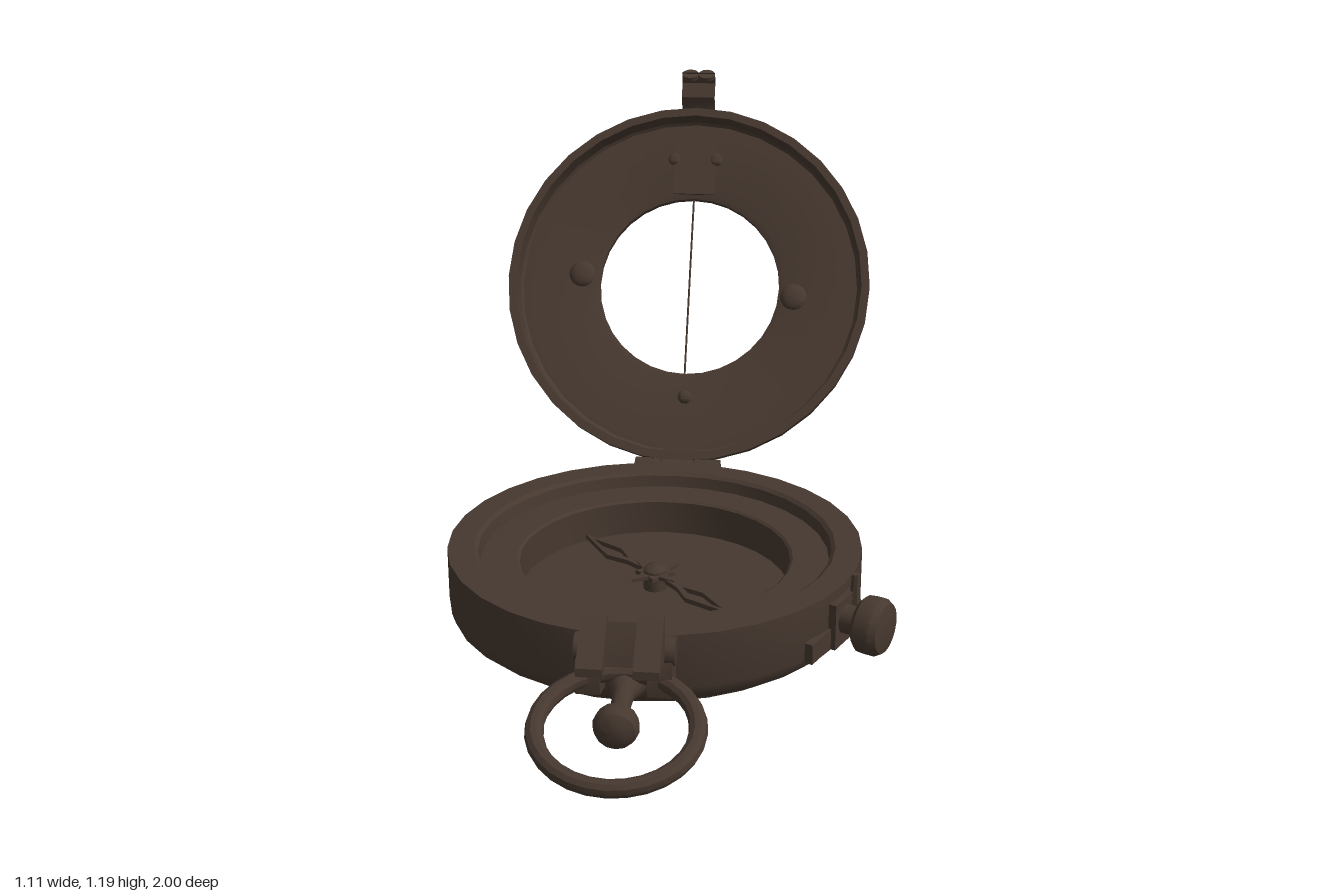
import * as THREE from 'three';
import { toCreasedNormals } from 'three/addons/utils/BufferGeometryUtils.js';

const CX = -0.045; // symmetry plane of the case
const CZ = 0.12;   // case axis

export function createModel() {
  const model = new THREE.Group();
  model.name = 'pocketCompass';
  const bronze = new THREE.MeshStandardMaterial({ color: 0x46382f });
  bronze.name = 'darkBronze';

  const add = (parent, name, geo, x = 0, y = 0, z = 0) => {
    const mesh = new THREE.Mesh(toCreasedNormals(geo, 0.6), bronze);
    mesh.name = name;
    mesh.position.set(x, y, z);
    parent.add(mesh);
    return mesh;
  };
  const group = (name, x, y, z) => {
    const g = new THREE.Group();
    g.name = name;
    g.position.set(x, y, z);
    model.add(g);
    return g;
  };
  const lathe = (pts, seg) => new THREE.LatheGeometry(pts.map(p => new THREE.Vector2(...p)), seg);
  const shapeOf = pts => new THREE.Shape(pts.map(p => new THREE.Vector2(...p)));
  // Side profile of [z, y] points, extruded to a width along x
  const sideExtrude = (pts, width) => new THREE.ExtrudeGeometry(shapeOf(pts), { depth: width, bevelEnabled: false })
    .translate(0, 0, -width / 2).rotateY(-Math.PI / 2);
  const barX = (r, len, seg = 12) => new THREE.CylinderGeometry(r, r, len, seg).rotateZ(Math.PI / 2);
  const dome = (r, depth, seg = 12) => new THREE.SphereGeometry(r, seg, 8).scale(1, 1, depth / r);

  // Case: foot, rounded wall, stepped rim and dial floor
  add(model, 'caseBody', lathe([
    [0, 0.006], [0.11, 0.006], [0.115, 0.014], [0.33, 0.014], [0.34, 0.002], [0.45, 0.002],
    [0.458, 0.022], [0.485, 0.026], [0.507, 0.045], [0.515, 0.07], [0.515, 0.203], [0.45, 0.203],
    [0.44, 0.195], [0.435, 0.165], [0.345, 0.165], [0.338, 0.16], [0.338, 0.072], [0, 0.072],
  ], 32), CX, 0, CZ);

  // Needle: two open diamonds on slim arms, with a star and hub
  const needle = group('needle', CX, 0.108, CZ);
  needle.rotation.y = -Math.PI / 4;
  const flat = (shape, t) => new THREE.ExtrudeGeometry(shape, { depth: t, bevelEnabled: false })
    .translate(0, 0, -t / 2).rotateX(-Math.PI / 2);
  for (const s of [1, -1]) {
    const diamond = shapeOf([[0.05, -0.008], [0.1, -0.012], [0.16, -0.033], [0.295, 0], [0.16, 0.033], [0.1, 0.012], [0.05, 0.008]]);
    diamond.holes.push(new THREE.Path([[0.11, 0], [0.165, 0.018], [0.26, 0], [0.165, -0.018]].map(p => new THREE.Vector2(...p))));
    const arm = add(needle, 'needleArm', flat(diamond, 0.012));
    arm.rotation.y = s > 0 ? 0 : Math.PI;
  }
  const star = [];
  for (let i = 0; i < 16; i++) {
    const r = i % 2 ? 0.035 : i % 4 ? 0.05 : 0.075, a = i * Math.PI / 8;
    star.push([r * Math.cos(a), r * Math.sin(a)]);
  }
  add(needle, 'needleStar', flat(shapeOf(star), 0.01), 0, 0.004, 0);
  add(needle, 'needleHub', lathe([[0, -0.036], [0.03, -0.036], [0.03, 0.015], [0.02, 0.025], [0, 0.03]], 14));

  // Lid: dished ring leaning back; local z is its inner face direction
  const lid = group('lid', CX, 0.65, -0.668);
  lid.rotation.x = -0.52;
  add(lid, 'lidRing', lathe([
    [0.258, -0.058], [0.258, -0.078], [0.275, -0.082], [0.45, -0.082], [0.485, -0.072], [0.508, -0.052],
    [0.515, -0.03], [0.515, 0], [0.492, 0], [0.487, -0.045], [0.48, -0.052], [0.275, -0.052], [0.258, -0.058],
  ], 32).rotateX(Math.PI / 2));
  add(lid, 'sightWire', new THREE.CylinderGeometry(0.003, 0.003, 0.53, 6), 0, 0, -0.066);
  for (const [x, y, r] of [[-0.31, 0.025, 0.038], [0.3, -0.025, 0.038], [0.005, -0.325, 0.02]]) {
    add(lid, 'lidScrew', dome(r, 0.015), x, y, -0.052);
    add(lid, 'lidScrewBack', dome(r, 0.022), x, y, -0.082);
  }
  add(lid, 'innerPlate', new THREE.BoxGeometry(0.12, 0.2, 0.008), 0, 0.37, -0.05);
  for (const s of [1, -1]) add(lid, 'innerPlateRivet', dome(0.018, 0.01), s * 0.061, 0.375, -0.05);

  // Springy latch strap on the lid's back, with a two-lobed tip
  const path = [[-0.086, 0.265], [-0.088, 0.45], [-0.08, 0.495], [-0.062, 0.531], [-0.026, 0.556], [-0.026, 0.6], [0, 0.622]];
  const strap = path.concat(path.map(([z, y]) => [z - 0.012, y + 0.004]).reverse());
  add(lid, 'latchStrap', sideExtrude(strap, 0.095));
  for (const s of [1, -1]) {
    add(lid, 'latchLobe', new THREE.CylinderGeometry(0.024, 0.024, 0.012, 12).rotateX(0.9), s * 0.0235, 0.616, -0.008);
  }
  for (const y of [0.3, 0.39]) add(lid, 'strapRivet', dome(0.024, 0.018), 0, y, -0.096);

  // Rear hinge: barrel, outer knuckles and leaves
  const hinge = group('hinge', CX, 0.18, -0.41);
  add(hinge, 'hingePin', barX(0.018, 0.24));
  for (const s of [1, -1]) {
    add(hinge, 'hingeKnuckle', barX(0.029, 0.07), s * 0.083, 0, 0);
    add(hinge, 'hingeLug', new THREE.BoxGeometry(0.07, 0.05, 0.05), s * 0.083, -0.01, 0.025);
  }
  add(hinge, 'hingeCentre', barX(0.027, 0.09));
  add(hinge, 'lidLeaf', sideExtrude([[0.01, -0.025], [-0.03, -0.055], [-0.055, -0.04], [-0.125, 0.09], [-0.1, 0.1], [-0.045, 0.012], [0, 0.025]], 0.095));

  // Front sight: hinge bar, lugs and a notched wedge
  const sight = group('frontSight', CX, 0.19, 0.67);
  add(sight, 'sightHinge', barX(0.027, 0.22));
  for (const s of [1, -1]) {
    add(sight, 'sightLug', sideExtrude([[-0.04, 0.01], [0.015, 0.01], [0.04, -0.04], [0.035, -0.1], [-0.04, -0.12]], 0.055), s * 0.08, 0, 0);
    add(sight, 'sightWedge', sideExtrude([[0.02, -0.005], [0.13, -0.005], [0.13, 0.015], [0.04, 0.098], [0.026, 0.098]], 0.058), s * 0.062, 0, 0);
    add(sight, 'sightEnd', barX(0.032, 0.025), s * 0.1, 0, 0);
  }
  add(sight, 'sightBackPlate', sideExtrude([[0, -0.01], [0.07, -0.01], [0.06, 0.03], [0.036, 0.083], [0.026, 0.083]], 0.075));
  add(sight, 'sightBase', new THREE.BoxGeometry(0.2, 0.05, 0.06), 0, -0.06, -0.025);

  // Hanging ring on its ball-ended stem
  add(model, 'hangingRing', new THREE.TorusGeometry(0.177, 0.021, 10, 28)
    .scale(1, 0.91, 1).rotateX(Math.PI / 2 + 0.33), CX, 0.079, 0.824);
  add(model, 'ringStem', lathe([
    [0, 0], [0.05, 0], [0.045, 0.04], [0.025, 0.08], [0.02, 0.15], [0.03, 0.165], [0.047, 0.175],
    [0.052, 0.195], [0.045, 0.215], [0.025, 0.228], [0, 0.23],
  ], 14).rotateX(Math.PI / 2 + 0.1), CX, 0.104, 0.63);

  // Side brake: curved-wall bracket, pin and thumb knob (local z points outward)
  const brake = group('sideBrake', CX, 0.125, CZ);
  brake.rotation.y = Math.atan2(0.905, 0.425);
  add(brake, 'brakePlate', new THREE.BoxGeometry(0.13, 0.115, 0.035), 0.015, -0.005, 0.512);
  add(brake, 'brakeTongue', new THREE.BoxGeometry(0.11, 0.05, 0.02), -0.09, -0.035, 0.508);
  add(brake, 'brakePin', new THREE.CylinderGeometry(0.01, 0.018, 0.12, 8), 0.05, 0.035, 0.53);
  add(brake, 'brakeKnob', lathe([
    [0, 0.5], [0.035, 0.5], [0.035, 0.56], [0.055, 0.568], [0.068, 0.58], [0.07, 0.6],
    [0.07, 0.618], [0.06, 0.635], [0.035, 0.64], [0, 0.64],
  ], 18).rotateX(Math.PI / 2));

  return model;
}
